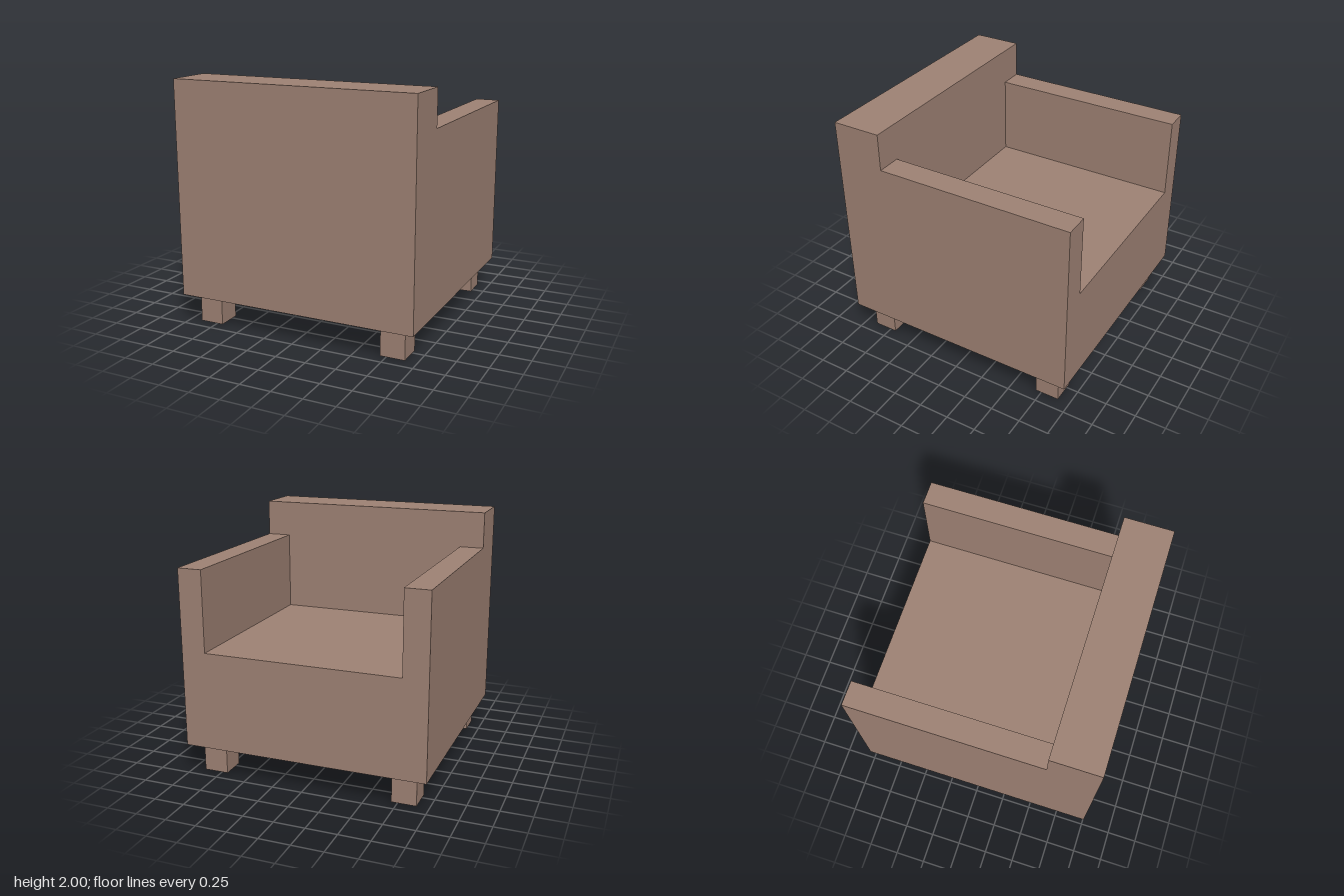
import * as THREE from 'three';

const FLOOR = 0.245, SEAT = 1.04, ARM = 1.7, TOP = 2;
const BACK_Z = 0.6; // the backrest fills z from here to 1

export function createModel() {
  const group = new THREE.Group();
  group.name = 'armchair';

  const upholstery = new THREE.MeshStandardMaterial({ color: 0xa08375 });
  upholstery.name = 'brown upholstery';

  const add = (name, geometry, x, y, z) => {
    const mesh = new THREE.Mesh(geometry, upholstery);
    mesh.name = name;
    mesh.position.set(x, y, z);
    group.add(mesh);
  };

  // Seat and both arms: one U-shaped section running from the open side to the backrest
  const section = new THREE.Shape([
    [-1, FLOOR], [1, FLOOR], [1, ARM], [0.8, ARM],
    [0.8, SEAT], [-0.8, SEAT], [-0.8, ARM], [-1, ARM],
  ].map(([x, y]) => new THREE.Vector2(x, y)));
  add('seatAndArms',
    new THREE.ExtrudeGeometry(section, { depth: BACK_Z + 1, bevelEnabled: false }), 0, 0, -1);

  // Backrest: full-width block, taller than the arms
  add('backrest', new THREE.BoxGeometry(2, TOP - FLOOR, 1 - BACK_Z),
    0, (TOP + FLOOR) / 2, (1 + BACK_Z) / 2);

  // Four square legs, inset from the corners
  const legGeometry = new THREE.BoxGeometry(0.2, FLOOR, 0.2);
  for (const x of [-0.8, 0.8]) {
    for (const z of [-0.8, 0.8]) add('leg', legGeometry, x, FLOOR / 2, z);
  }

  return group;
}
